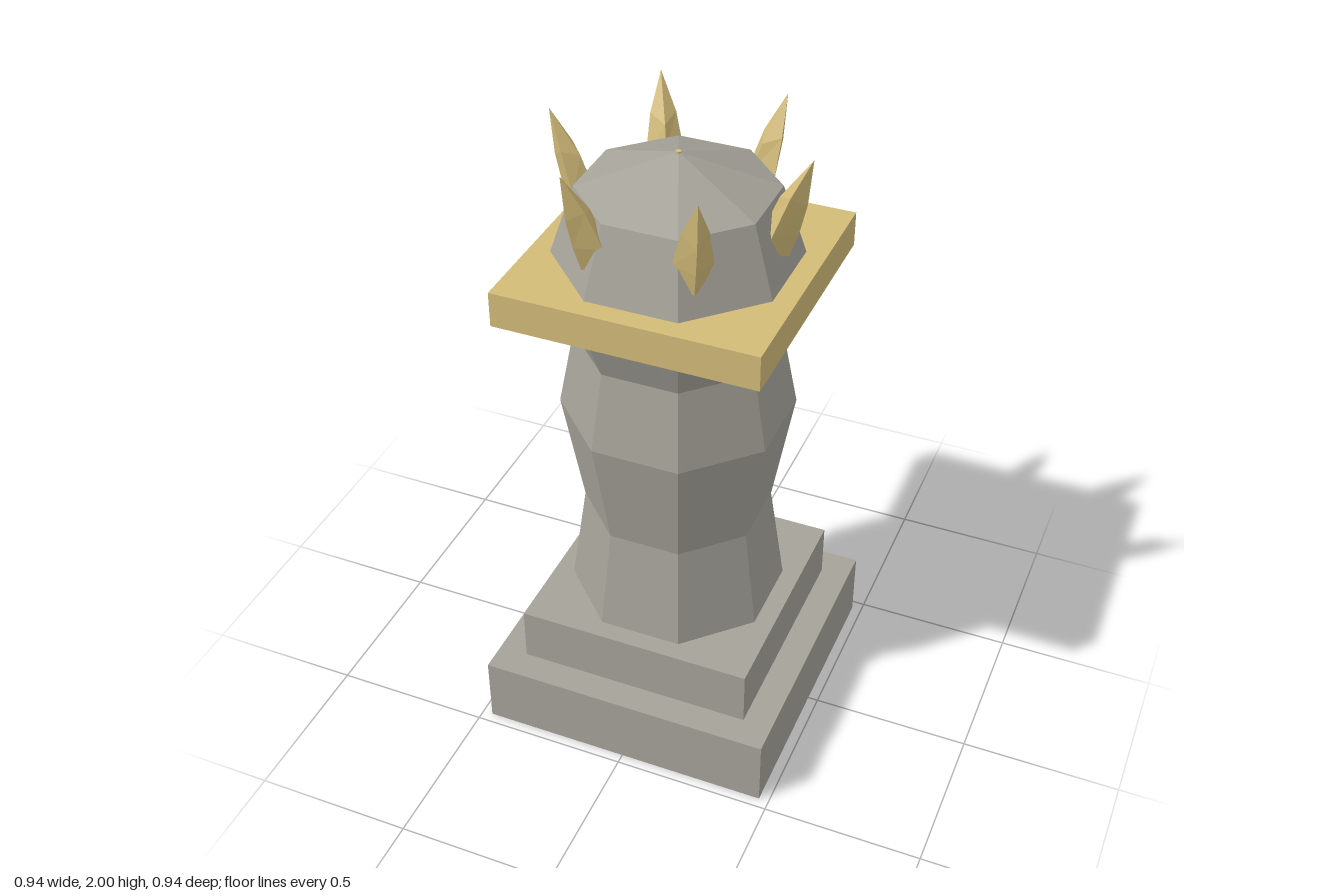
import * as THREE from 'three';

const stone = new THREE.MeshStandardMaterial({ color: 0xa5a299 });
stone.name = 'stone';
const gold = new THREE.MeshStandardMaterial({ color: 0xd2bb78 });
gold.name = 'gold';

// Split the faces so that each one is shaded flat
function faceted(geometry) {
  const g = geometry.index ? geometry.toNonIndexed() : geometry;
  g.computeVertexNormals();
  return g;
}

function add(parent, name, geometry, material) {
  const mesh = new THREE.Mesh(geometry, material);
  mesh.name = name;
  parent.add(mesh);
  return mesh;
}

// Square slab between two heights
function slab(parent, name, width, y0, y1, material) {
  const mesh = add(parent, name, new THREE.BoxGeometry(width, y1 - y0, width), material);
  mesh.position.y = (y0 + y1) / 2;
}

// Eight-sided solid from [flat radius, height] pairs, flat side to the front
function octagon(profile) {
  const k = 1 / Math.cos(Math.PI / 8);
  const points = profile.map(([r, y]) => new THREE.Vector2(r * k, y));
  return faceted(new THREE.LatheGeometry(points, 8, Math.PI / 8));
}

// Four-sided claw pointing up and out along +x
function clawGeometry() {
  // each ring: inner [x, y], side [x, y, half width], outer [x, y]
  const rings = [
    [[0.29, 1.70], [0.312, 1.695, 0.022], [0.333, 1.69]],
    [[0.27, 1.80], [0.297, 1.767, 0.058], [0.358, 1.77]],
    [[0.298, 1.87], [0.34, 1.89, 0.038], [0.378, 1.86]],
    [[0.39, 2], [0.39, 2, 0], [0.39, 2]],
  ];
  const positions = [];
  for (const [inner, side, outer] of rings) {
    positions.push(...inner, 0, ...side, ...outer, 0, side[0], side[1], -side[2]);
  }
  const index = [0, 2, 1, 0, 3, 2];
  for (let r = 0; r < rings.length - 1; r++) {
    for (let i = 0; i < 4; i++) {
      const a = r * 4 + i, b = r * 4 + (i + 1) % 4;
      index.push(a, b, b + 4);
      if (r < rings.length - 2) index.push(a, b + 4, a + 4);
    }
  }
  // the last band closes on the tip
  const g = new THREE.BufferGeometry();
  g.setAttribute('position', new THREE.Float32BufferAttribute(positions, 3));
  g.setIndex(index);
  return faceted(g);
}

export function createModel() {
  const model = new THREE.Group();
  model.name = 'crownedPillar';

  // Stepped base
  slab(model, 'lowerPlinth', 0.936, 0, 0.225, stone);
  slab(model, 'upperPlinth', 0.75, 0.225, 0.405, stone);

  // Waisted shaft, collar and domed head
  add(model, 'shaft', octagon([
    [0.315, 0.40], [0.27, 0.735], [0.33, 1.10], [0.285, 1.35], [0.345, 1.52],
  ]), stone);
  slab(model, 'collar', 0.8, 1.515, 1.625, gold);
  add(model, 'head', octagon([[0.338, 1.62], [0.27, 1.838], [0, 1.945]]), stone);

  // Small stud on the peak
  const stud = add(model, 'peakStud', new THREE.CylinderGeometry(0.009, 0.009, 0.008, 8), gold);
  stud.position.y = 1.943;

  // Ring of claws around the head
  const crown = new THREE.Group();
  crown.name = 'crown';
  model.add(crown);
  const claw = clawGeometry();
  for (let i = 0; i < 6; i++) {
    add(crown, 'claw', claw, gold).rotation.y = i * Math.PI / 3;
  }
  return model;
}
